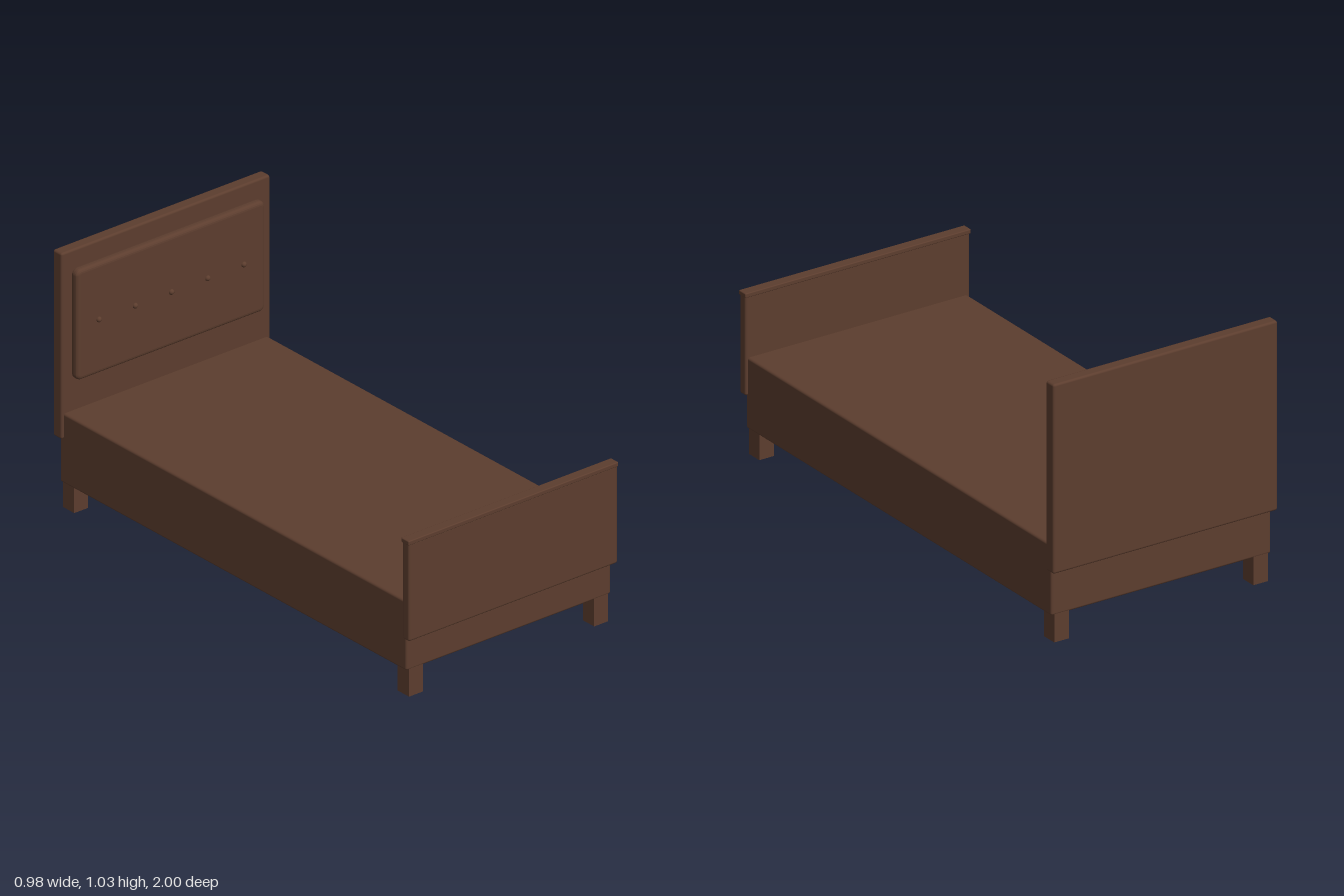
import * as THREE from 'three';
import { RoundedBoxGeometry } from 'three/addons/geometries/RoundedBoxGeometry.js';

export function createModel() {
  const bed = new THREE.Group();
  bed.name = 'bed';
  const wood = new THREE.MeshStandardMaterial({ color: 0x5c3d2e });
  wood.name = 'brown wood';

  const add = (name, geometry, x, y, z) => {
    const mesh = new THREE.Mesh(geometry, wood);
    mesh.name = name;
    mesh.position.set(x, y, z);
    bed.add(mesh);
    return mesh;
  };

  // Board with softened edges, given by its extents; centred on x
  const board = (name, halfWidth, y0, y1, z0, z1, radius) =>
    add(name, new RoundedBoxGeometry(halfWidth * 2, y1 - y0, z1 - z0, 2, radius),
      0, (y0 + y1) / 2, (z0 + z1) / 2);

  // Bed box and end boards
  board('bedBase', 0.477, 0.107, 0.388, -0.972, 0.972, 0.009);
  board('headboard', 0.487, 0.285, 1.035, -1, -0.95, 0.009);
  board('footboard', 0.487, 0.238, 0.635, 0.96, 0.999, 0.009);
  board('footboardCap', 0.49, 0.627, 0.645, 0.957, 1, 0.004);

  // Padded panel: rounded rectangle with a rounded front rim
  const bevel = 0.016, w = 0.44 - bevel, h = 0.2225 - bevel, r = 0.008;
  const outline = new THREE.Shape();
  outline.absarc(w - r, h - r, r, 0, Math.PI / 2);
  outline.absarc(r - w, h - r, r, Math.PI / 2, Math.PI);
  outline.absarc(r - w, r - h, r, Math.PI, Math.PI * 1.5);
  outline.absarc(w - r, r - h, r, Math.PI * 1.5, Math.PI * 2);
  const padding = new THREE.ExtrudeGeometry(outline, {
    depth: 0.01, bevelEnabled: true, bevelSize: bevel, bevelThickness: 0.014,
    bevelSegments: 4, curveSegments: 4,
  });
  add('headboardPadding', padding, 0, 0.7375, -0.944);

  // Row of tufting buttons
  const buttonGeometry = new THREE.SphereGeometry(0.011, 16, 12);
  for (let i = -2; i <= 2; i++) add('button', buttonGeometry, i * 0.169, 0.735, -0.92);

  // Square legs
  const legGeometry = new THREE.BoxGeometry(0.064, 0.12, 0.064);
  for (const x of [-0.432, 0.432])
    for (const z of [-0.939, 0.939])
      add('leg', legGeometry, x, 0.06, z);

  return bed;
}
